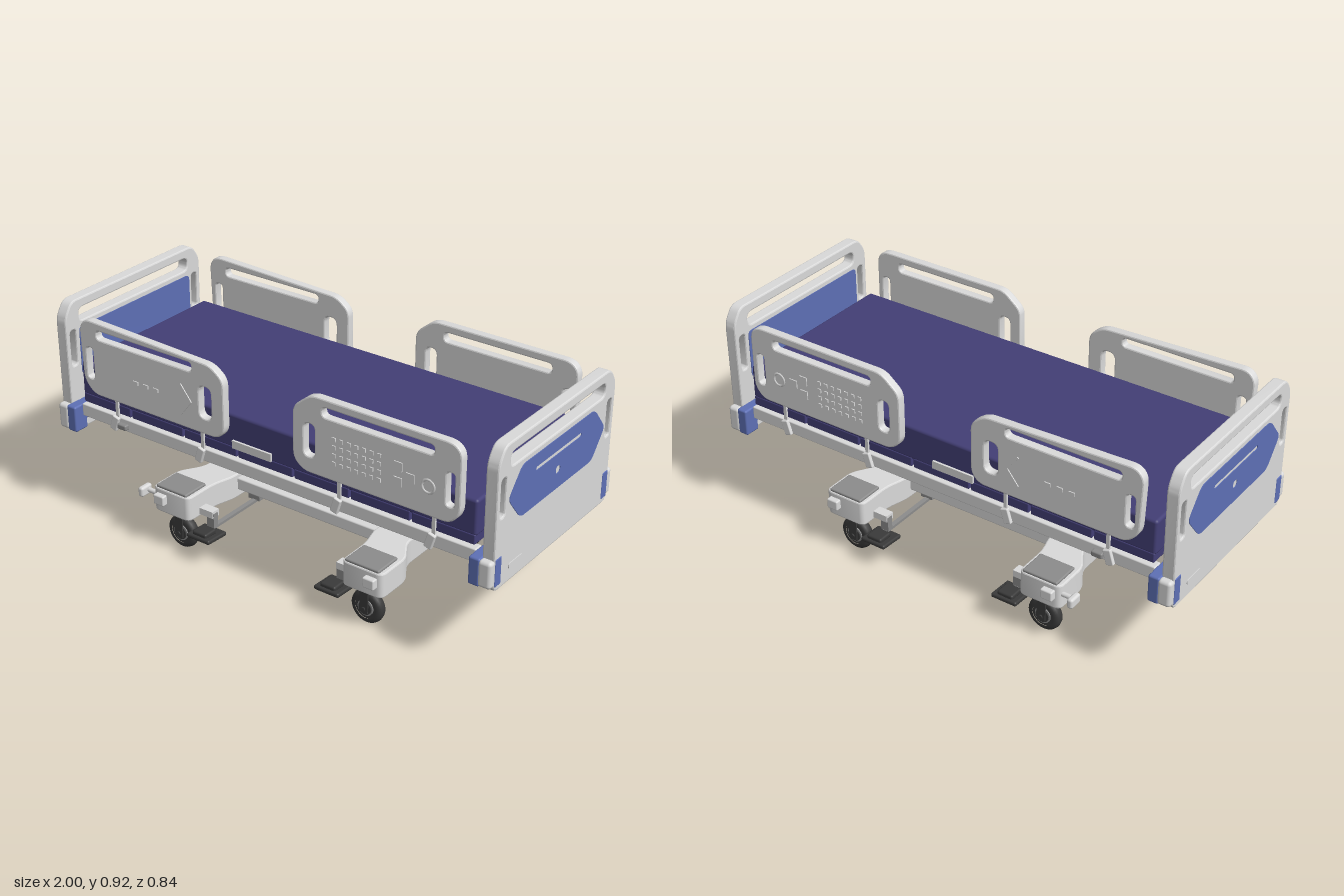
import * as THREE from 'three';
import { toCreasedNormals } from 'three/addons/utils/BufferGeometryUtils.js';
import { RoundedBoxGeometry } from 'three/addons/geometries/RoundedBoxGeometry.js';

const mat = (name, color) => {
  const m = new THREE.MeshStandardMaterial({ color });
  m.name = name;
  return m;
};

export function createModel() {
  const grey = mat('light grey plastic', 0xdadada);
  const steel = mat('dark grey steel', 0x8c8c8c);
  const navy = mat('navy fabric', 0x433f76);
  const blue = mat('blue plastic', 0x5e70b6);
  const black = mat('black rubber', 0x3a3a3a);
  const bed = new THREE.Group();
  bed.name = 'adjustableBed';

  const add = (parent, name, geo, material, x = 0, y = 0, z = 0) => {
    const m = new THREE.Mesh(geo, material);
    m.name = name;
    m.position.set(x, y, z);
    parent.add(m);
    return m;
  };
  // Box given by its limits, optionally rounded
  const box = (parent, name, material, x0, x1, y0, y1, z0, z1, r = 0) => {
    const d = [x1 - x0, y1 - y0, z1 - z0];
    const geo = r ? new RoundedBoxGeometry(...d, 3, r) : new THREE.BoxGeometry(...d);
    return add(parent, name, geo, material, (x0 + x1) / 2, (y0 + y1) / 2, (z0 + z1) / 2);
  };
  // Closed outline with rounded corners
  const outline = (pts, r, Type = THREE.Shape) => {
    const path = new Type();
    const v = pts.map(p => new THREE.Vector2(...p));
    v.forEach((p, i) => {
      const a = v[(i + v.length - 1) % v.length], b = v[(i + 1) % v.length];
      const toward = q => p.clone().lerp(q, Math.min(0.46, r / p.distanceTo(q)));
      const s = toward(a), e = toward(b);
      if (i) path.lineTo(s.x, s.y); else path.moveTo(s.x, s.y);
      path.quadraticCurveTo(p.x, p.y, e.x, e.y);
    });
    path.closePath();
    return path;
  };
  const rect = (x0, x1, y0, y1) => [[x0, y0], [x1, y0], [x1, y1], [x0, y1]];
  const slot = (x0, x1, y0, y1, Type = THREE.Path) =>
    outline(rect(x0, x1, y0, y1), Math.min(x1 - x0, y1 - y0) / 2, Type);
  const extrude = (shape, depth, bevel = 0) => toCreasedNormals(new THREE.ExtrudeGeometry(shape, {
    depth: depth - 2 * bevel, curveSegments: 6, bevelEnabled: bevel > 0,
    bevelThickness: bevel, bevelSize: bevel, bevelOffset: -bevel, bevelSegments: 2,
  }).translate(0, 0, bevel), 0.35);

  // Mattress and the sectioned deck below it
  box(bed, 'mattress', navy, -0.905, 0.905, 0.545, 0.687, -0.367, 0.367, 0.012);
  const cuts = [-0.905, -0.655, -0.39, -0.13, 0.13, 0.38, 0.64, 0.905];
  for (let i = 0; i < 7; i++) {
    box(bed, 'deckSection', navy, cuts[i] + 0.004, cuts[i + 1] - 0.004, 0.513, 0.553, -0.368, 0.368, 0.005);
    for (const z of [-0.24, -0.08, 0.08, 0.24])
      box(bed, 'deckRib', navy, cuts[i] + 0.03, cuts[i + 1] - 0.03, 0.5, 0.516, z - 0.02, z + 0.02);
  }

  // Head and foot boards
  const boardShape = outline([[-0.392, 0.37], [0.392, 0.37], [0.395, 0.86], [0.355, 0.92],
    [-0.355, 0.92], [-0.395, 0.86]], 0.028);
  boardShape.holes.push(slot(-0.32, 0.32, 0.825, 0.88),
    slot(-0.374, -0.342, 0.65, 0.8), slot(0.342, 0.374, 0.65, 0.8));
  const panelShape = outline([[-0.328, 0.703], [-0.245, 0.6], [0.245, 0.6], [0.328, 0.703],
    [0.245, 0.803], [-0.245, 0.803]], 0.025);
  panelShape.holes.push(slot(-0.155, 0.155, 0.738, 0.753), slot(-0.015, 0.015, 0.66, 0.69));
  const innerShape = outline(rect(-0.325, 0.325, 0.6, 0.803), 0.02);
  for (const s of [-1, 1]) {
    const end = new THREE.Group();
    end.name = s > 0 ? 'footEnd' : 'headEnd';
    end.rotation.y = s * Math.PI / 2;
    bed.add(end);
    add(end, 'board', extrude(boardShape, 0.05, 0.006), grey, 0, 0, 0.947);
    add(end, 'outerPanel', extrude(panelShape, 0.005), blue, 0, 0, 0.995);
    add(end, 'innerPanel', extrude(innerShape, 0.005), blue, 0, 0, 0.944);
    add(end, 'gripPlate', extrude(slot(-0.302, -0.21, 0.421, 0.443, THREE.Shape), 0.005), grey, 0, 0, 0.995);
    box(end, 'crossBar', blue, -0.39, 0.39, 0.43, 0.5, 0.908, 0.95, 0.006);
    for (const t of [-1, 1]) {
      // Blue corner cover wrapping a grey roller
      box(end, 'cornerCover', blue, t * 0.385 - 0.033, t * 0.385 + 0.033, 0.39, 0.5, 0.908, 0.953, 0.008);
      box(end, 'cornerFace', blue, t * 0.369 - 0.019, t * 0.369 + 0.019, 0.39, 0.5, 0.94, 0.9995, 0.004);
      box(end, 'bumperRoller', grey, t * 0.402 - 0.018, t * 0.402 + 0.018, 0.392, 0.498, 0.945, 0.9985, 0.014);
      add(end, 'poleSocket', new THREE.CylinderGeometry(0.015, 0.015, 0.012, 16), grey, t * 0.23, 0.503, 0.925);
    }
  }

  // Side guards: shapes for the head half and the foot half
  const headGuard = outline([[-0.81, 0.585], [-0.195, 0.585], [-0.16, 0.62], [-0.16, 0.83],
    [-0.22, 0.875], [-0.835, 0.895], [-0.867, 0.86], [-0.858, 0.635]], 0.03);
  headGuard.holes.push(slot(-0.78, -0.31, 0.825, 0.86), slot(-0.836, -0.803, 0.65, 0.78),
    slot(-0.277, -0.22, 0.65, 0.78));
  const footGuard = outline([[0.2, 0.585], [0.82, 0.585], [0.86, 0.63], [0.86, 0.865],
    [0.825, 0.895], [0.235, 0.895], [0.155, 0.83], [0.155, 0.625]], 0.03);
  footGuard.holes.push(slot(0.285, 0.75, 0.825, 0.862), slot(0.205, 0.252, 0.65, 0.78),
    slot(0.802, 0.834, 0.65, 0.78));

  for (const s of [-1, 1]) {
    const side = new THREE.Group();
    side.name = s > 0 ? 'frontSide' : 'backSide';
    bed.add(side);
    const zBox = (name, m, x0, x1, y0, y1, z0, z1, r) =>
      box(side, name, m, x0, x1, y0, y1, Math.min(s * z0, s * z1), Math.max(s * z0, s * z1), r);
    const z0 = s > 0 ? 0.368 : -0.403;
    add(side, 'headGuard', extrude(headGuard, 0.035, 0.006), grey, 0, 0, z0);
    add(side, 'footGuard', extrude(footGuard, 0.035, 0.006), grey, 0, 0, z0);

    // Raised buttons, dial and chevron on the guards
    for (let i = 0; i < 7; i++) for (let j = 0; j < 4; j++)
      zBox('button', grey, 0.33 + i * 0.032, 0.345 + i * 0.032, 0.65 + j * 0.032, 0.665 + j * 0.032, 0.4, 0.407);
    for (const [x, y] of [[0.59, 0.66], [0.59, 0.72], [0.64, 0.69]])
      zBox('largeButton', grey, x, x + 0.035, y, y + 0.035, 0.4, 0.407);
    const dial = add(side, 'dial', new THREE.TorusGeometry(0.025, 0.005, 6, 20), grey, 0.73, 0.7, s * 0.403);
    dial.scale.z = 0.7;
    for (let i = 0; i < 3; i++)
      zBox('button', grey, -0.6 + i * 0.05, -0.575 + i * 0.05, 0.69, 0.705, 0.4, 0.407);
    for (const t of [-1, 1]) {
      const bar = zBox('chevron', grey, -0.38, -0.3, 0.696 + t * 0.03, 0.704 + t * 0.03, 0.4, 0.407);
      bar.rotation.z = -t * 0.9;
    }

    // Long rail, label plate and guard arms
    zBox('sideRail', grey, -0.91, 0.91, 0.45, 0.503, 0.335, 0.375, 0.005);
    zBox('labelPlate', grey, -0.148, 0.032, 0.55, 0.582, 0.36, 0.376);
    for (const x of [-0.73, -0.3, 0.33, 0.73]) {
      const arm = zBox('guardArm', grey, x - 0.016, x + 0.016, 0.445, 0.506, 0.37, 0.388, 0.004);
      arm.rotation.z = -0.3;
      zBox('guardPost', grey, x + 0.002, x + 0.016, 0.5, 0.6, 0.366, 0.376);
    }
    zBox('railCatch', steel, -0.71, -0.665, 0.462, 0.485, 0.37, 0.395, 0.006);
    // Inner rails carrying the lift linkage
    zBox('innerRail', grey, -0.5, 0.5, 0.465, 0.5, 0.11, 0.14);
  }
  for (const x of [-0.5, -0.3, 0.3, 0.5])
    box(bed, 'crossMember', grey, x - 0.016, x + 0.016, 0.462, 0.5, -0.34, 0.34);

  // Drive housings and rods below the frame
  box(bed, 'controlBox', grey, -0.11, 0.15, 0.405, 0.448, -0.09, 0.09, 0.008);
  for (const s of [-1, 1]) {
    box(bed, 'housing', grey, s * 0.52 - 0.06, s * 0.52 + 0.06, 0.405, 0.462, -0.12, 0.12, 0.008);
    const rod = add(bed, 'actuatorRod', new THREE.CylinderGeometry(0.02, 0.02, 0.24, 16), grey, s * 0.24, 0.435, s * 0.12);
    rod.rotation.z = Math.PI / 2 + s * 0.12;
    box(bed, 'actuatorMotor', grey, s * 0.25 - 0.05, s * 0.25 + 0.05, 0.4, 0.46, s * 0.12 - 0.04, s * 0.12 + 0.04, 0.012);
  }

  // Undercarriage: columns, bases, castors and pedals
  const baseHalf = [[0.335, 0.15], [0.36, 0.24], [0.36, 0.392], [0.542, 0.392], [0.542, 0.24], [0.485, 0.15]];
  const basePts = [...baseHalf, ...[...baseHalf].reverse().map(([x, z]) => [x, -z])];
  const tyre = new THREE.LatheGeometry([[0.045, -0.02], [0.058, -0.02], [0.067, -0.012], [0.07, 0],
    [0.067, 0.012], [0.058, 0.02], [0.045, 0.02]].map(p => new THREE.Vector2(...p)), 32).rotateX(Math.PI / 2);
  const disc = (r, w) => new THREE.CylinderGeometry(r, r, w, 24).rotateX(Math.PI / 2);
  for (const s of [-1, 1]) {
    const base = new THREE.Group();
    base.name = s > 0 ? 'footBase' : 'headBase';
    bed.add(base);
    const xBox = (name, m, x0, x1, y0, y1, z0, z1, r) =>
      box(base, name, m, Math.min(s * x0, s * x1), Math.max(s * x0, s * x1), y0, y1, z0, z1, r);
    const beam = add(base, 'baseBeam', extrude(outline(basePts.map(([x, z]) => [s * x, z]), 0.03), 0.103, 0.006), grey, 0, 0.162, 0);
    beam.rotation.x = -Math.PI / 2;
    xBox('columnFlange', steel, 0.335, 0.485, 0.262, 0.278, -0.1, 0.1);
    xBox('lowerColumn', grey, 0.343, 0.468, 0.275, 0.375, -0.088, 0.088, 0.01);
    xBox('columnLabel', steel, 0.38, 0.43, 0.305, 0.34, -0.09, 0.09);
    xBox('upperColumn', steel, 0.355, 0.455, 0.37, 0.44, -0.075, 0.075, 0.01);
    xBox('columnHead', grey, 0.325, 0.485, 0.432, 0.465, -0.17, 0.17, 0.006);
    xBox('pedalMount', steel, 0.285, 0.34, 0.125, 0.2, -0.055, 0.055);
    xBox('pedalLink', steel, 0.3, 0.32, 0.117, 0.128, -0.36, 0.36);
    for (const t of [-1, 1]) {
      const near = (a, b) => [Math.min(t * a, t * b), Math.max(t * a, t * b)];
      xBox('topPad', steel, 0.375, 0.525, 0.262, 0.276, ...near(0.268, 0.388), 0.006);
      xBox('wallBumper', grey, 0.47, 0.52, 0.203, 0.245, ...near(0.385, 0.415), 0.006);
      xBox('pedalBracket', grey, 0.295, 0.37, 0.172, 0.2, ...near(0.29, 0.33));
      xBox('pedalPost', steel, 0.293, 0.328, 0.125, 0.19, ...near(0.3, 0.325));
      const pedal = xBox('brakePedal', black, 0.25, 0.362, 0.103, 0.122, ...near(0.3, 0.41), 0.008);
      pedal.rotation.x = -t * 0.06;
      xBox('pedalGrip', black, 0.272, 0.34, 0.118, 0.14, ...near(0.335, 0.4), 0.008);

      const castor = new THREE.Group();
      castor.name = 'castor';
      castor.position.set(s * 0.442, 0.07, t * 0.33);
      base.add(castor);
      add(castor, 'tyre', tyre, black);
      add(castor, 'wheelDisc', disc(0.046, 0.034), black);
      add(castor, 'hubRing', disc(0.034, 0.042), steel);
      add(castor, 'hub', disc(0.028, 0.05), black);
      add(castor, 'axle', disc(0.009, 0.076), black);
      box(castor, 'swivelPlate', grey, -0.045, 0.045, 0.08, 0.095, -0.035, 0.035, 0.005);
      for (const z of [-0.03, 0.03])
        box(castor, 'forkArm', black, -0.018, 0.018, -0.015, 0.084, z - 0.003, z + 0.003);
      box(castor, 'forkCrown', black, -0.03, 0.03, 0.071, 0.082, -0.032, 0.032);
    }
  }
  // Beams joining the bases, and the steering levers
  for (const s of [-1, 1]) {
    box(bed, 'longBeam', grey, -0.35, 0.35, 0.195, 0.247, s * 0.1 - 0.025, s * 0.1 + 0.025, 0.006);
    const lever = add(bed, 'steeringLever', new THREE.CylinderGeometry(0.01, 0.01, 0.07, 12), grey, -0.565, 0.224, s * 0.37);
    lever.rotation.z = Math.PI / 2;
    box(bed, 'leverKnob', grey, -0.605, -0.58, 0.203, 0.245, s * 0.38 - 0.03, s * 0.38 + 0.03, 0.01);
  }
  return bed;
}
